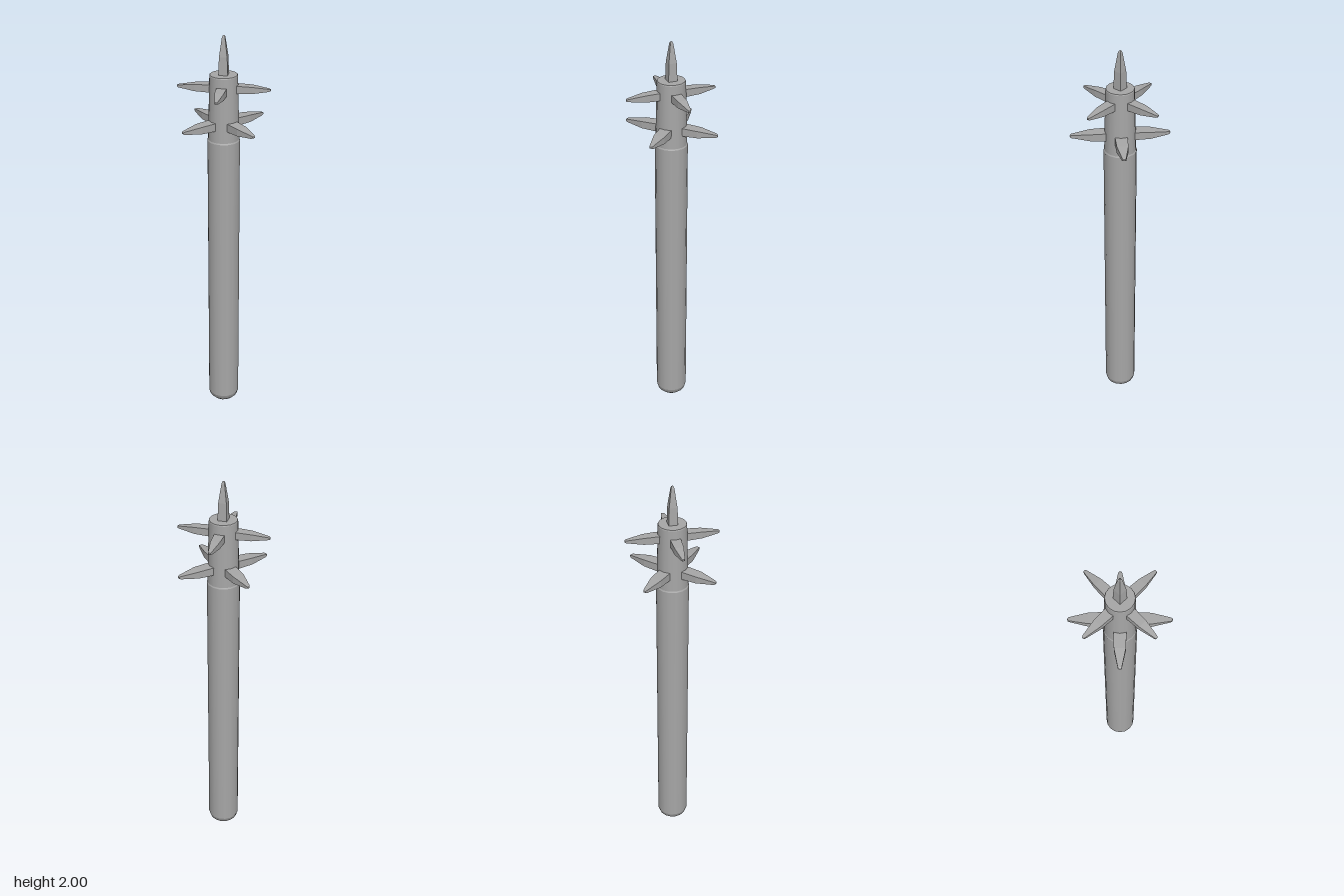
import * as THREE from 'three';

const metal = new THREE.MeshStandardMaterial({ color: 0xa6a6a6 });

function addMesh(parent, name, geometry) {
  const mesh = new THREE.Mesh(geometry, metal);
  mesh.name = name;
  parent.add(mesh);
  return mesh;
}

// Turned surface; each run of points is smooth, with sharp edges between runs
function turned(parent, name, runs) {
  const group = new THREE.Group();
  group.name = name;
  runs.forEach((run, i) => addMesh(group, `${name}Section${i + 1}`,
    new THREE.LatheGeometry(run.map(([r, y]) => new THREE.Vector2(r, y)), 16)));
  parent.add(group);
}

// Four-sided blade along +y: rows of [distance, half width, half thickness]
function spikeGeometry(rows) {
  const points = [];
  const corners = [[1, 1], [1, -1], [-1, -1], [-1, 1]];
  const at = ([d, w, t], k) => [corners[k % 4][0] * w, d, corners[k % 4][1] * t];
  for (let i = 0; i < rows.length - 1; i++) {
    for (let k = 0; k < 4; k++) {
      const a = at(rows[i], k), b = at(rows[i], k + 1);
      const c = at(rows[i + 1], k + 1), d = at(rows[i + 1], k);
      points.push(...a, ...b, ...c, ...a, ...c, ...d);
    }
  }
  const geometry = new THREE.BufferGeometry();
  geometry.setAttribute('position', new THREE.Float32BufferAttribute(points, 3));
  geometry.computeVertexNormals();
  return geometry;
}

// Ring of four spikes pointing outwards
function spikeRing(parent, name, y, turn, rows) {
  const ring = new THREE.Group();
  ring.name = name;
  const geometry = spikeGeometry(rows).rotateX(Math.PI / 2);
  for (let i = 0; i < 4; i++) {
    addMesh(ring, `${name}Spike${i + 1}`, geometry).rotation.y = turn + i * Math.PI / 2;
  }
  ring.position.y = y;
  parent.add(ring);
}

export function createModel() {
  const group = new THREE.Group();
  group.name = 'spikedClub';

  // Long handle with a rounded butt and a small ledge under the head
  turned(group, 'handle', [
    [[0, 0], [0.03, 0.004], [0.056, 0.016], [0.072, 0.032], [0.079, 0.055]],
    [[0.079, 0.055], [0.078, 1.495]],
    [[0.078, 1.495], [0.074, 1.503]],
  ]);

  // Tapered head with a flat top
  turned(group, 'head', [
    [[0.075, 1.5], [0.067, 1.81]],
    [[0.067, 1.81], [0.065, 1.815]],
    [[0.065, 1.815], [0, 1.815]],
  ]);

  // Upper ring on the axes, lower ring on the diagonals
  spikeRing(group, 'upperRing', 1.75, 0, [
    [0.04, 0.024, 0.018], [0.075, 0.0235, 0.018], [0.135, 0.021, 0.016],
    [0.212, 0.008, 0.006], [0.219, 0.005, 0.004], [0.221, 0, 0],
  ]);
  spikeRing(group, 'lowerRing', 1.578, Math.PI / 4, [
    [0.04, 0.029, 0.019], [0.075, 0.0285, 0.019], [0.14, 0.0265, 0.017],
    [0.225, 0.009, 0.007], [0.232, 0.006, 0.004], [0.234, 0, 0],
  ]);

  // Spike on the crown
  addMesh(group, 'topSpike', spikeGeometry([
    [1.8, 0.022, 0.022], [1.9, 0.019, 0.019],
    [1.99, 0.007, 0.007], [1.997, 0.004, 0.004], [2, 0, 0],
  ]));

  return group;
}
